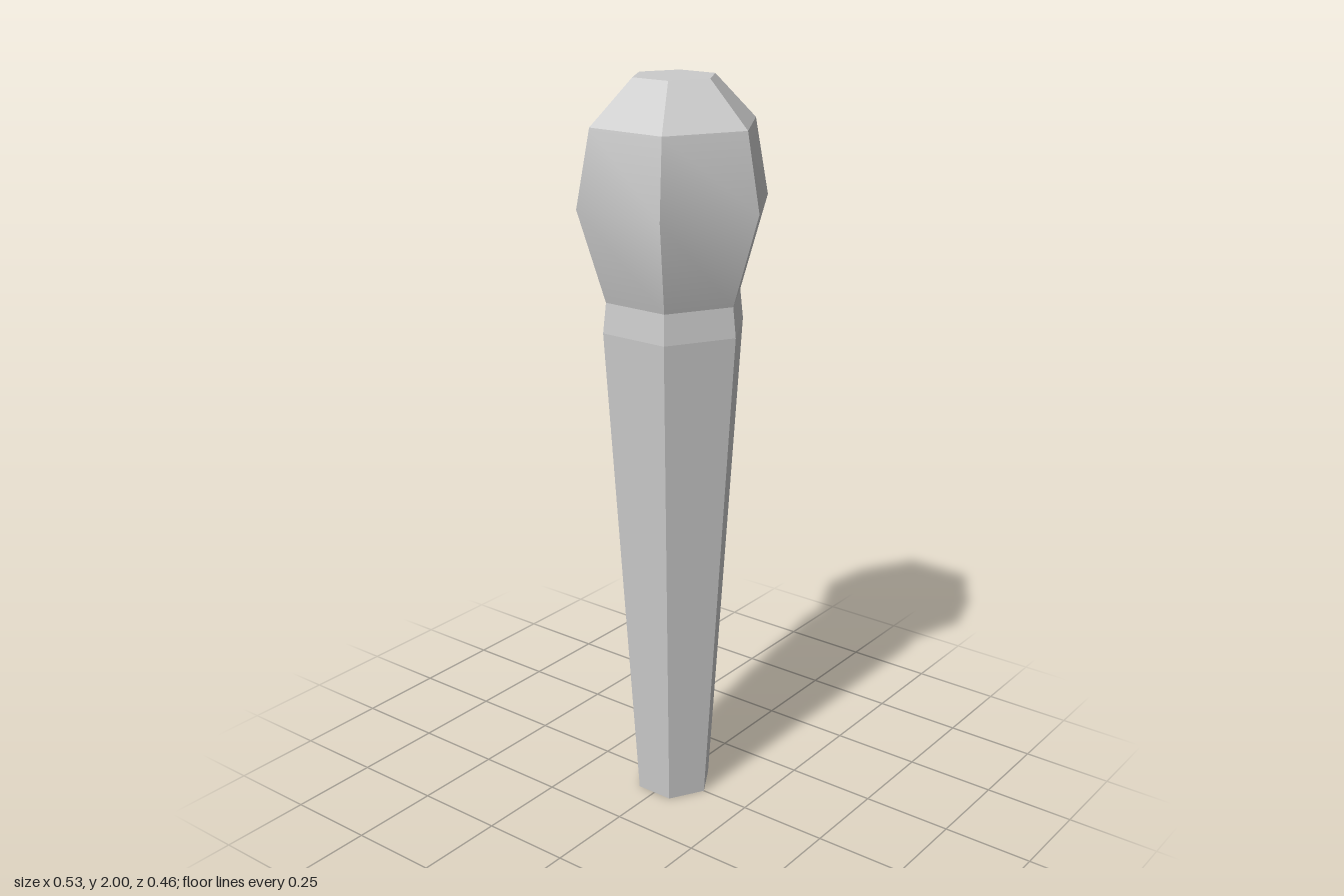
import * as THREE from 'three';
import { toCreasedNormals } from 'three/addons/utils/BufferGeometryUtils.js';

// Six-sided lathe with corners on the x axis; profile is [radius, height] from bottom to top
function hexLathe(profile) {
  const points = profile.map(([r, y]) => new THREE.Vector2(r, y));
  return new THREE.LatheGeometry(points, 6, Math.PI / 2);
}

export function createModel() {
  const group = new THREE.Group();
  group.name = 'clubWithHexagonalHead';

  // Tapered handle with a narrow collar, closed at the bottom
  const handle = new THREE.Mesh(
    hexLathe([[0, 0], [0.107, 0], [0.197, 1.36], [0.188, 1.44]]),
    new THREE.MeshStandardMaterial({ color: 0xcccccc, flatShading: true })
  );
  handle.name = 'handle';

  // Bulging head: smooth up each side, sharp at the corners and around the top
  const head = new THREE.Mesh(
    toCreasedNormals(
      hexLathe([[0.188, 1.44], [0.263, 1.685], [0.225, 1.885], [0.111, 2], [0, 2]]),
      THREE.MathUtils.degToRad(30)
    ),
    new THREE.MeshStandardMaterial({ color: 0xcccccc })
  );
  head.name = 'head';

  group.add(handle, head);
  return group;
}
